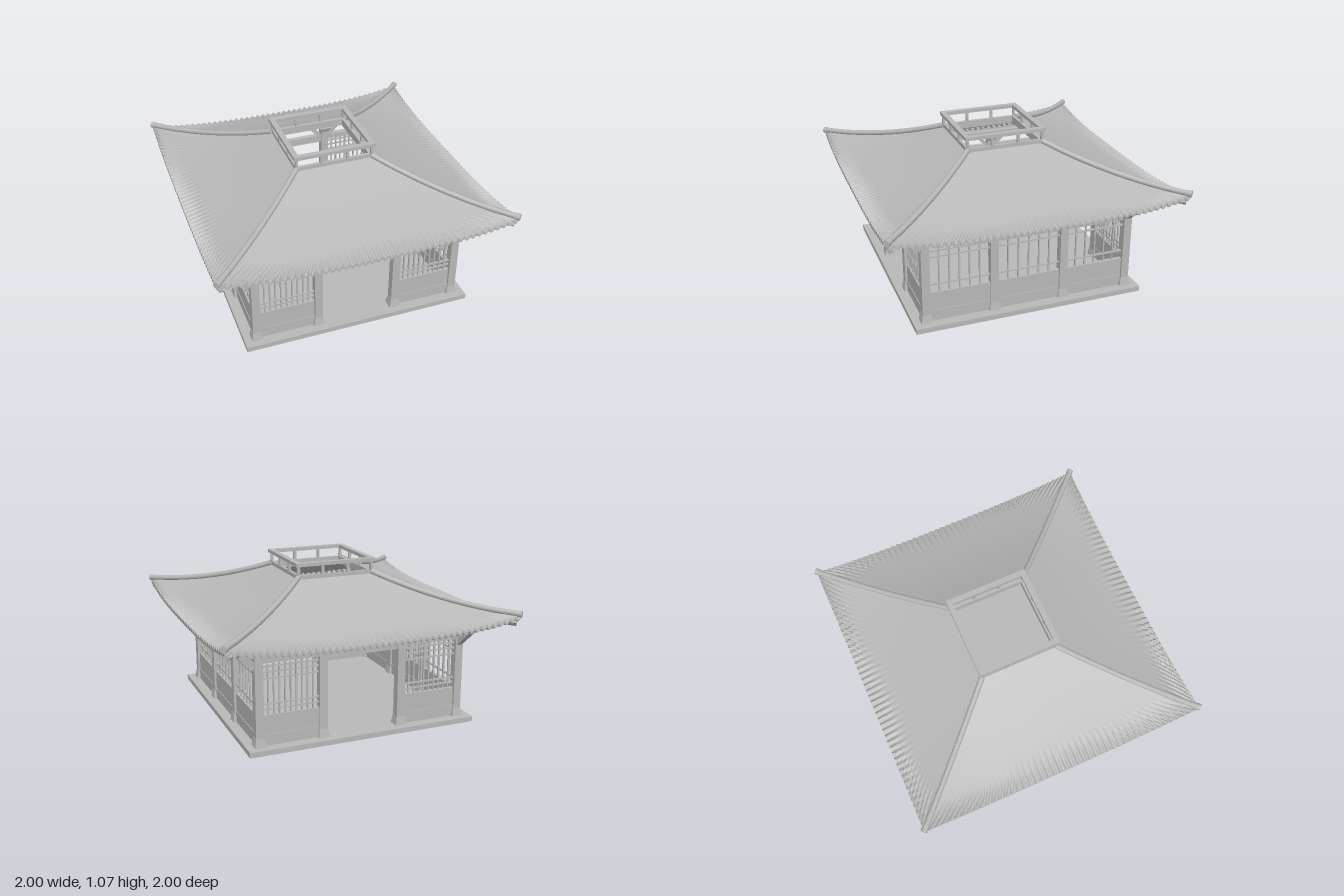
import * as THREE from 'three';
import { toCreasedNormals } from 'three/addons/utils/BufferGeometryUtils.js';

const grey = new THREE.MeshStandardMaterial({ color: 0xb8b8b8, side: THREE.DoubleSide });
grey.name = 'plain grey';

const CORNER = 0.697, TOP = 0.265, EAVE = 0.985, TILES = 46;

function add(parent, name, geometry, x = 0, y = 0, z = 0) {
  const mesh = new THREE.Mesh(geometry, grey);
  mesh.name = name;
  mesh.position.set(x, y, z);
  parent.add(mesh);
  return mesh;
}

// box given by its centre in x and z and its bottom and top in y
function block(parent, name, x, z, w, d, y0, y1) {
  return add(parent, name, new THREE.BoxGeometry(w, y1 - y0, d), x, (y0 + y1) / 2, z);
}

// straight bar between two points
function bar(parent, name, a, b, geometry) {
  const from = new THREE.Vector3(...a), to = new THREE.Vector3(...b);
  const mesh = add(parent, name, geometry(from.distanceTo(to)));
  mesh.position.copy(from).add(to).multiplyScalar(0.5);
  mesh.quaternion.setFromUnitVectors(new THREE.Vector3(0, 1, 0), to.sub(from).normalize());
  return mesh;
}

// square frustum
function frustum(parent, name, x, z, topHalf, bottomHalf, y0, y1) {
  const g = new THREE.CylinderGeometry(topHalf * Math.SQRT2, bottomHalf * Math.SQRT2, y1 - y0, 4, 1);
  g.rotateY(Math.PI / 4);
  return add(parent, name, toCreasedNormals(g, 0.5), x, (y0 + y1) / 2, z);
}

// sagging roof height: t runs from crown to eave, u from corner to corner
const widthAt = t => TOP + (EAVE - TOP) * t;
function roofY(u, t) {
  const hip = 0.96 - 0.355 * t + 0.16 * t * t;
  return hip - 0.065 * t * t * (1 - Math.abs(u) ** 3);
}

// one roof slope: upper skin, eave edge and soffit as one grid
function roofSlope() {
  const rows = 12, cols = TILES * 8, pos = [], index = [];
  const section = [];
  for (let i = 0; i <= rows; i++) section.push([Math.sqrt(i / rows), 0]);
  for (let i = rows; i >= 0; i -= 2) section.push([Math.sqrt(i / rows), -0.02]);
  for (const [t, drop] of section) {
    const w = widthAt(t), fade = THREE.MathUtils.smoothstep(t, 0.74, 1);
    for (let j = 0; j <= cols; j++) {
      const u = (j / cols) * 2 - 1;
      const ripple = 0.009 * fade * Math.cos(u * w / EAVE * TILES * Math.PI);
      pos.push(u * w, roofY(u, t) + ripple + drop, w);
    }
  }
  for (let i = 0; i < section.length - 1; i++) {
    for (let j = 0; j < cols; j++) {
      const a = i * (cols + 1) + j, b = a + cols + 1;
      index.push(a, b, a + 1, a + 1, b, b + 1);
    }
  }
  const g = new THREE.BufferGeometry();
  g.setAttribute('position', new THREE.Float32BufferAttribute(pos, 3));
  g.setIndex(index);
  return toCreasedNormals(g, 0.9);
}

// square post with flared foot and capital
function column(parent, x, z) {
  const post = new THREE.Group();
  post.name = 'column';
  post.position.set(x, 0, z);
  parent.add(post);
  block(post, 'columnShaft', 0, 0, 0.054, 0.054, 0.035, 0.65);
  frustum(post, 'columnFoot', 0, 0, 0.029, 0.038, 0.035, 0.09);
  frustum(post, 'columnCapital', 0, 0, 0.046, 0.03, 0.645, 0.68);
}

// low wall with a latticed window above
function windowBay(parent, x0, x1, uprights, rails) {
  const bay = new THREE.Group();
  bay.name = 'windowBay';
  parent.add(bay);
  const mid = (x0 + x1) / 2, w = x1 - x0, z = CORNER;
  block(bay, 'lowerWall', mid, z, w, 0.025, 0.11, 0.235);
  block(bay, 'skirtingBoard', mid, z, w, 0.034, 0.035, 0.11);
  for (let i = 1; i <= uprights; i++) {
    block(bay, 'latticeUpright', x0 + w * i / (uprights + 1), z, 0.009, 0.012, 0.235, 0.575);
  }
  for (const y of rails) block(bay, 'latticeRail', mid, z, w, 0.014, y - 0.005, y + 0.005);
}

function buildSide(isEntrance, slope) {
  const side = new THREE.Group();
  side.name = isEntrance ? 'entranceSide' : 'windowSide';
  const inner = isEntrance ? 0.272 : 0.24, half = 0.027;

  // columns and walls
  column(side, CORNER, CORNER);
  for (const s of [-1, 1]) column(side, s * inner, CORNER);
  const rails = isEntrance ? [0.548, 0.512, 0.47, 0.305, 0.27] : [0.525, 0.483, 0.29];
  const uprights = isEntrance ? 9 : 5;
  windowBay(side, -CORNER + half, -inner - half, uprights, rails);
  windowBay(side, inner + half, CORNER - half, uprights, rails);
  if (isEntrance) block(side, 'doorLintel', 0, CORNER, 0.49, 0.025, 0.555, 0.575);
  else windowBay(side, -inner + half, inner - half, uprights, rails);

  // beams
  block(side, 'tieBeam', 0, CORNER, CORNER * 2, 0.036, 0.572, 0.613);
  block(side, 'wallPlate', 0, CORNER, CORNER * 2 + 0.12, 0.05, 0.68, 0.72);
  block(side, 'eavePurlin', 0, 0.845, 1.72, 0.03, 0.662, 0.69);

  // knee braces along the wall
  const knee = length => new THREE.BoxGeometry(0.026, length, 0.03);
  for (const c of [-CORNER, -inner, inner, CORNER]) {
    for (const s of [-1, 1]) {
      if (Math.abs(c + s * 0.1) > CORNER) continue;
      bar(side, 'kneeBrace', [c + s * 0.02, 0.595, CORNER], [c + s * 0.11, 0.685, CORNER], knee);
    }
  }
  // outward corner brace
  bar(side, 'cornerBrace', [CORNER, 0.545, CORNER + 0.01], [CORNER + 0.015, 0.675, 0.85],
    length => new THREE.BoxGeometry(0.036, length, 0.04));

  // roof slope with rafters beneath
  add(side, 'roofSlope', slope);
  const pole = length => new THREE.CylinderGeometry(0.011, 0.011, length, 6);
  const under = (x, w) => [x, roofY(x / w, (w - TOP) / (EAVE - TOP)) - 0.029, w];
  for (let i = 0; i < TILES - 2; i++) {
    const x = (i - (TILES - 3) / 2) * (EAVE * 2 / TILES);
    const start = Math.max(Math.abs(x) - 0.01, 0.6);
    bar(side, 'rafter', under(x, start), under(x, 0.968), pole);
  }

  // hip ridge at one corner
  const points = [];
  for (let i = 0; i <= 8; i++) {
    const t = i / 8, w = TOP + (EAVE - TOP) * t;
    points.push(new THREE.Vector3(w, roofY(1, t) + 0.014, w));
  }
  add(side, 'hipRidge', new THREE.TubeGeometry(new THREE.CatmullRomCurve3(points), 24, 0.019, 8));
  const tip = add(side, 'ridgeEnd', new THREE.CylinderGeometry(0.022, 0.022, 0.03, 10), 0.977, 0.779, 0.977);
  tip.rotation.set(Math.PI / 2, Math.PI / 4, 0, 'YXZ');
  bar(side, 'hipRafter', [0.6, 0.755, 0.6], [0.965, 0.725, 0.965],
    length => new THREE.BoxGeometry(0.04, length, 0.04));

  // open crown: curb and railing
  block(side, 'crownCurb', 0, 0.256, 0.53, 0.022, 0.935, 0.985);
  block(side, 'crownRail', 0, 0.264, 0.565, 0.037, 1.046, 1.069);
  for (const x of [-0.09, 0.09, 0.262]) {
    block(side, 'crownPost', x, 0.262, 0.018, 0.018, 0.98, 1.05);
  }
  return side;
}

export function createModel() {
  const model = new THREE.Group();
  model.name = 'pavilion';
  block(model, 'floorSlab', 0, 0, 1.568, 1.568, 0, 0.035);
  const slope = roofSlope();
  for (let k = 0; k < 4; k++) {
    const side = buildSide(k % 2 === 0, slope);
    side.rotation.y = k * Math.PI / 2;
    model.add(side);
  }
  return model;
}
